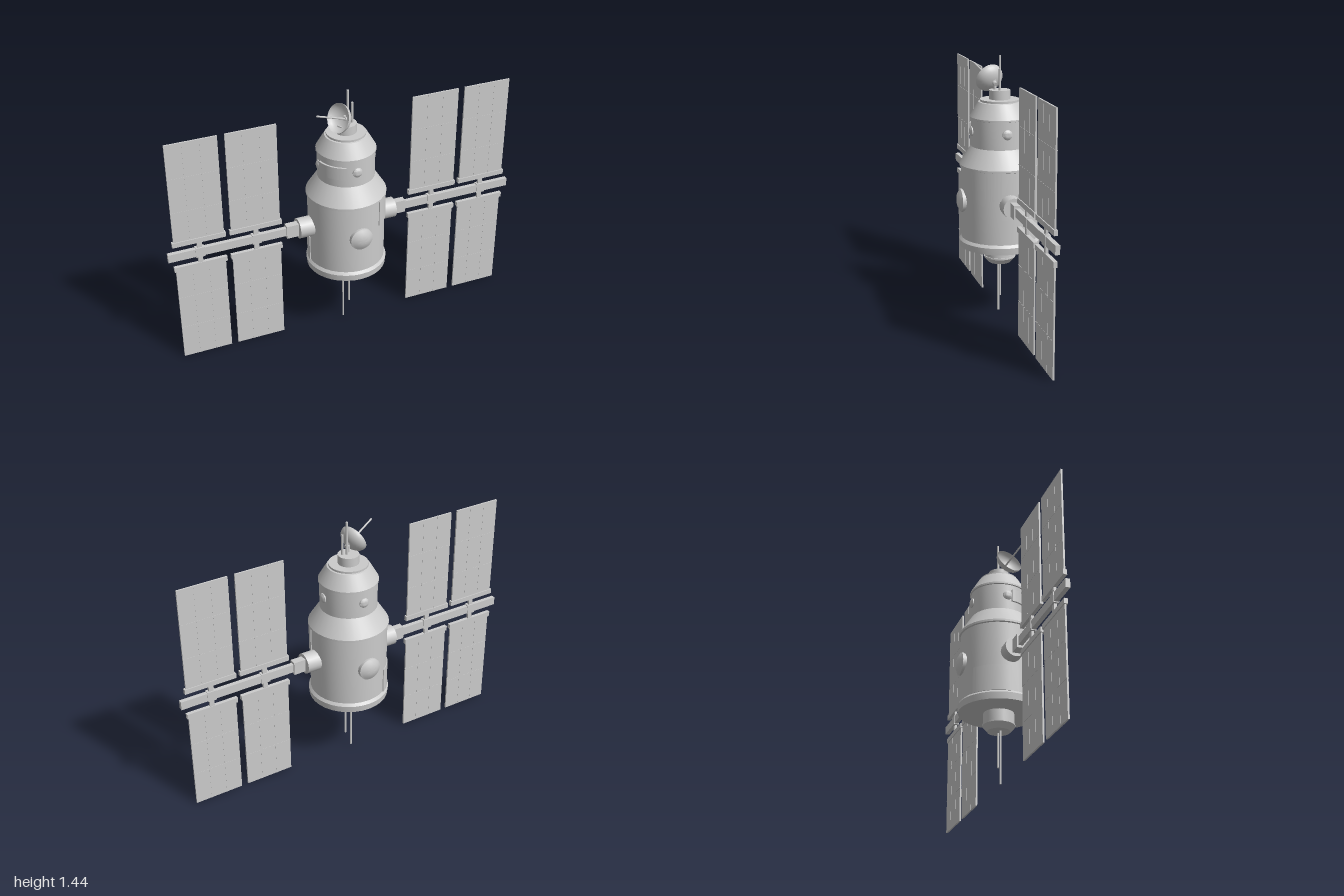
import * as THREE from 'three';
import { toCreasedNormals } from 'three/addons/utils/BufferGeometryUtils.js';

const grey = new THREE.MeshStandardMaterial({ color: 0xcccccc });
const greyDouble = new THREE.MeshStandardMaterial({ color: 0xcccccc, side: THREE.DoubleSide });

function add(parent, name, geometry, x = 0, y = 0, z = 0, material = grey) {
  const mesh = new THREE.Mesh(geometry, material);
  mesh.name = name;
  mesh.position.set(x, y, z);
  parent.add(mesh);
  return mesh;
}

function lathe(profile, segments = 32) {
  const points = profile.map(([r, y]) => new THREE.Vector2(r, y));
  return toCreasedNormals(new THREE.LatheGeometry(points, segments), 0.4);
}

const box = (w, h, d) => new THREE.BoxGeometry(w, h, d);
const rod = (r, h, n = 8) => new THREE.CylinderGeometry(r, r, h, n);

// Curved plate hugging the hull; angles run from +x towards +z, in degrees
function hullPlate(parent, name, inner, outer, y0, y1, from, to) {
  const a = THREE.MathUtils.degToRad(from), b = THREE.MathUtils.degToRad(to);
  const shape = new THREE.Shape();
  shape.absarc(0, 0, outer, a, b, false);
  shape.absarc(0, 0, inner, b, a, true);
  const geometry = new THREE.ExtrudeGeometry(shape, { depth: y1 - y0, bevelEnabled: false, curveSegments: 12 });
  geometry.rotateX(Math.PI / 2);
  add(parent, name, toCreasedNormals(geometry, 0.4), 0, y1, 0);
}

// Round window with a rim and a domed pane, turned outwards around the hull
function porthole(parent, name, radius, distance, y, angle, bulge) {
  const geometry = lathe([
    [radius, -0.02], [radius, bulge * 0.4], [radius * 0.84, bulge * 0.55],
    [radius * 0.6, bulge * 0.82], [radius * 0.3, bulge * 0.96], [0, bulge],
  ], 20);
  geometry.rotateX(Math.PI / 2);
  const mesh = add(parent, name, geometry, Math.sin(angle) * distance, y, Math.cos(angle) * distance);
  mesh.rotation.y = angle;
}

// One solar panel with its mounting rail; dir is +1 above the boom, -1 below
function solarPanel(parent, x, dir) {
  const panel = new THREE.Group();
  panel.name = 'solarPanel';
  panel.position.set(x, 0.663, 0);
  const w = 0.272, h = 0.59, start = 0.07;
  const mid = dir * (start + h / 2);
  add(panel, 'panelSheet', box(w, h, 0.009), 0, mid, 0);
  add(panel, 'panelRail', box(0.288, 0.028, 0.02), 0, dir * 0.077, 0);
  add(panel, 'railPost', box(0.026, 0.06, 0.014), 0, dir * 0.045, 0);
  for (const t of [-1 / 6, 1 / 6]) {
    add(panel, 'cellDivider', box(0.004, h, 0.011), t * w, mid, 0);
    add(panel, 'cellDivider', box(w, 0.004, 0.011), 0, mid + t * h, 0);
  }
  parent.add(panel);
}

function solarWing(side) {
  const wing = new THREE.Group();
  wing.name = side > 0 ? 'leftWing' : 'rightWing';
  const hub = add(wing, 'wingHub', toCreasedNormals(rod(0.057, 0.12, 16), 0.5), side * 0.222, 0.667, 0);
  hub.rotation.z = Math.PI / 2;
  add(wing, 'boomSocket', box(0.08, 0.074, 0.04), side * 0.31, 0.666, 0);
  add(wing, 'boom', box(0.68, 0.047, 0.024), side * 0.66, 0.666, 0);
  for (const x of [0.518, 0.828]) {
    add(wing, 'boomClamp', box(0.05, 0.056, 0.03), side * x, 0.666, 0);
    solarPanel(wing, side * x, 1);
    solarPanel(wing, side * x, -1);
  }
  return wing;
}

function dishAntenna() {
  const dish = new THREE.Group();
  dish.name = 'dishAntenna';
  // Bowl opens along local +y, rim at y = 0
  const bowl = [];
  for (let i = 0; i <= 8; i++) {
    const a = (i / 8) * Math.PI / 2;
    bowl.push(new THREE.Vector2(0.079 * Math.sin(a), -0.055 * Math.cos(a)));
  }
  add(dish, 'dishBowl', new THREE.LatheGeometry(bowl, 24), 0, 0, 0, greyDouble);
  add(dish, 'dishFeed', rod(0.005, 0.2), 0, 0.05, 0);
  add(dish, 'dishMount', rod(0.012, 0.03), 0, -0.06, 0);
  dish.position.set(-0.062, 1.31, 0.043);
  dish.quaternion.setFromUnitVectors(new THREE.Vector3(0, 1, 0), new THREE.Vector3(-0.88, 0.38, 0.28).normalize());
  return dish;
}

export function createModel() {
  const model = new THREE.Group();
  model.name = 'spaceStation';

  // Hull
  add(model, 'hull', lathe([
    [0, 0.395], [0.218, 0.395], [0.222, 0.432], [0.21, 0.447], [0.21, 0.84],
    [0.218, 0.843], [0.218, 0.855], [0.155, 0.952], [0.155, 1.1], [0.161, 1.102],
    [0.161, 1.112], [0.115, 1.19], [0.106, 1.192], [0.106, 1.203], [0.09, 1.203], [0, 1.203],
  ]));
  add(model, 'topHub', lathe([[0.057, 1.19], [0.057, 1.252], [0, 1.252]], 24));
  add(model, 'bottomNozzle', lathe([
    [0, 0.294], [0.062, 0.294], [0.088, 0.324], [0.088, 0.332], [0.083, 0.332], [0.083, 0.4],
  ], 24));

  // Raised plates
  hullPlate(model, 'upperPlate', 0.15, 0.165, 1.0, 1.07, 112, 172);
  hullPlate(model, 'sidePlate', 0.2, 0.215, 0.69, 0.843, 12, 56);
  hullPlate(model, 'lowerPlate', 0.2, 0.215, 0.445, 0.59, 180, 238);

  // Windows
  for (let i = 0; i < 4; i++) {
    porthole(model, 'smallPorthole', 0.027, 0.152, 1.035, i * Math.PI / 2, 0.017);
  }
  for (const angle of [0, Math.PI]) {
    porthole(model, 'largePorthole', 0.063, 0.207, 0.657, angle, 0.033);
  }

  // Solar wings
  model.add(solarWing(1), solarWing(-1));

  // Antennas: x, z, bottom, top
  const masts = [
    [0.01, 0, 1.24, 1.437], [0.032, 0.008, 1.24, 1.367],
    [-0.018, 0.003, 0, 0.3], [0.019, 0.003, 0.1, 0.3],
  ];
  for (const [x, z, y0, y1] of masts) {
    add(model, 'antennaMast', rod(0.006, y1 - y0), x, (y0 + y1) / 2, z);
  }
  model.add(dishAntenna());
  const strut = add(model, 'dishStrut', rod(0.008, 0.08), -0.012, 1.265, 0.022);
  strut.rotation.z = 0.1;

  return model;
}
